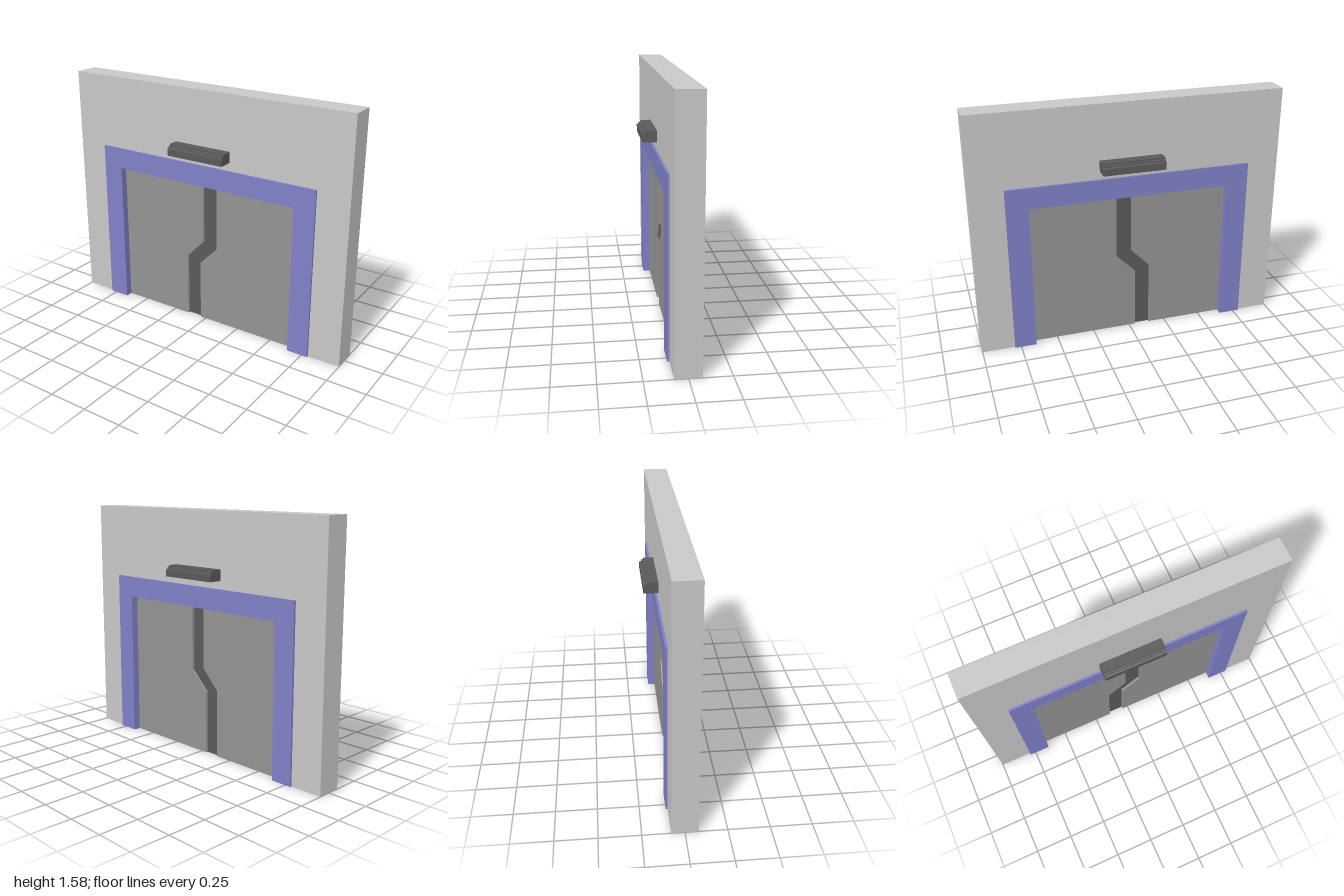
import * as THREE from 'three';

const mat = (name, color) => {
  const m = new THREE.MeshStandardMaterial({ color });
  m.name = name;
  return m;
};

// Extruded polygon spanning z0..z1
function slab(name, points, z0, z1, material) {
  const shape = new THREE.Shape(points.map(([x, y]) => new THREE.Vector2(x, y)));
  const geo = new THREE.ExtrudeGeometry(shape, { depth: z1 - z0, bevelEnabled: false });
  geo.translate(0, 0, z0);
  const mesh = new THREE.Mesh(geo, material);
  mesh.name = name;
  return mesh;
}

// Upside-down U outline: outer half width and height, inner half width and height
const arch = (ow, oh, iw, ih) => [
  [-ow, 0], [-iw, 0], [-iw, ih], [iw, ih], [iw, 0], [ow, 0], [ow, oh], [-ow, oh],
];

export function createModel() {
  const root = new THREE.Group();
  root.name = 'slidingDoorway';
  const wallGrey = mat('wall grey', 0xc8c8c8);
  const frameBlue = mat('frame blue', 0x8080c8);
  const doorGrey = mat('door grey', 0x939393);
  const darkGrey = mat('dark grey', 0x5a5a5a);
  const red = mat('sensor red', 0xc80000);

  const W = 0.65, H = 0.966;       // clear opening
  const wallZ = 0.08, frameZ = 0.093, doorZ = 0.046, sealZ = 0.031;

  // Wall with the door opening
  root.add(slab('wall', arch(1, 1.58, W + 0.01, H + 0.01), -wallZ, wallZ, wallGrey));

  // Frame: casing on both faces and a lining through the opening
  const frame = new THREE.Group();
  frame.name = 'doorFrame';
  const casing = arch(0.79, 1.103, W, H);
  frame.add(slab('frontCasing', casing, wallZ, frameZ, frameBlue));
  frame.add(slab('backCasing', casing, -frameZ, -wallZ, frameBlue));
  frame.add(slab('lining', arch(W + 0.01, H + 0.01, W, H), -wallZ, wallZ, frameBlue));
  root.add(frame);

  // Two door leaves meeting along a stepped, recessed seal
  const leftEdge = [[-0.14, 0], [-0.14, 0.437], [-0.016, 0.565], [-0.016, H]];
  const rightEdge = [[-0.04, 0], [-0.04, 0.41], [0.086, 0.535], [0.086, H]];
  root.add(slab('rightLeaf', [[-W, 0], ...leftEdge, [-W, H]], -doorZ, doorZ, doorGrey));
  root.add(slab('leftLeaf', [[W, 0], [W, H], ...[...rightEdge].reverse()], -doorZ, doorZ, doorGrey));
  root.add(slab('centreSeal', [...leftEdge, ...[...rightEdge].reverse()], -sealZ, sealZ, darkGrey));

  // Sensor housings above the door on both faces, with a red lens underneath
  const profile = [
    [wallZ, 1.155], [0.17, 1.155], [0.17, 1.2], [0.158, 1.205],
    [0.158, 1.214], [0.144, 1.216], [0.144, 1.226], [wallZ, 1.226],
  ];
  for (const [name, turn] of [['frontSensor', 0], ['backSensor', Math.PI]]) {
    const sensor = new THREE.Group();
    sensor.name = name;
    const housing = slab('housing', profile, -0.2, 0.2, darkGrey);
    housing.rotation.y = -Math.PI / 2; // profile x becomes z
    const lens = new THREE.Mesh(new THREE.BoxGeometry(0.34, 0.004, 0.055), red);
    lens.name = 'lens';
    lens.position.set(0, 1.1545, 0.125);
    sensor.add(housing, lens);
    sensor.rotation.y = turn;
    root.add(sensor);
  }
  return root;
}
